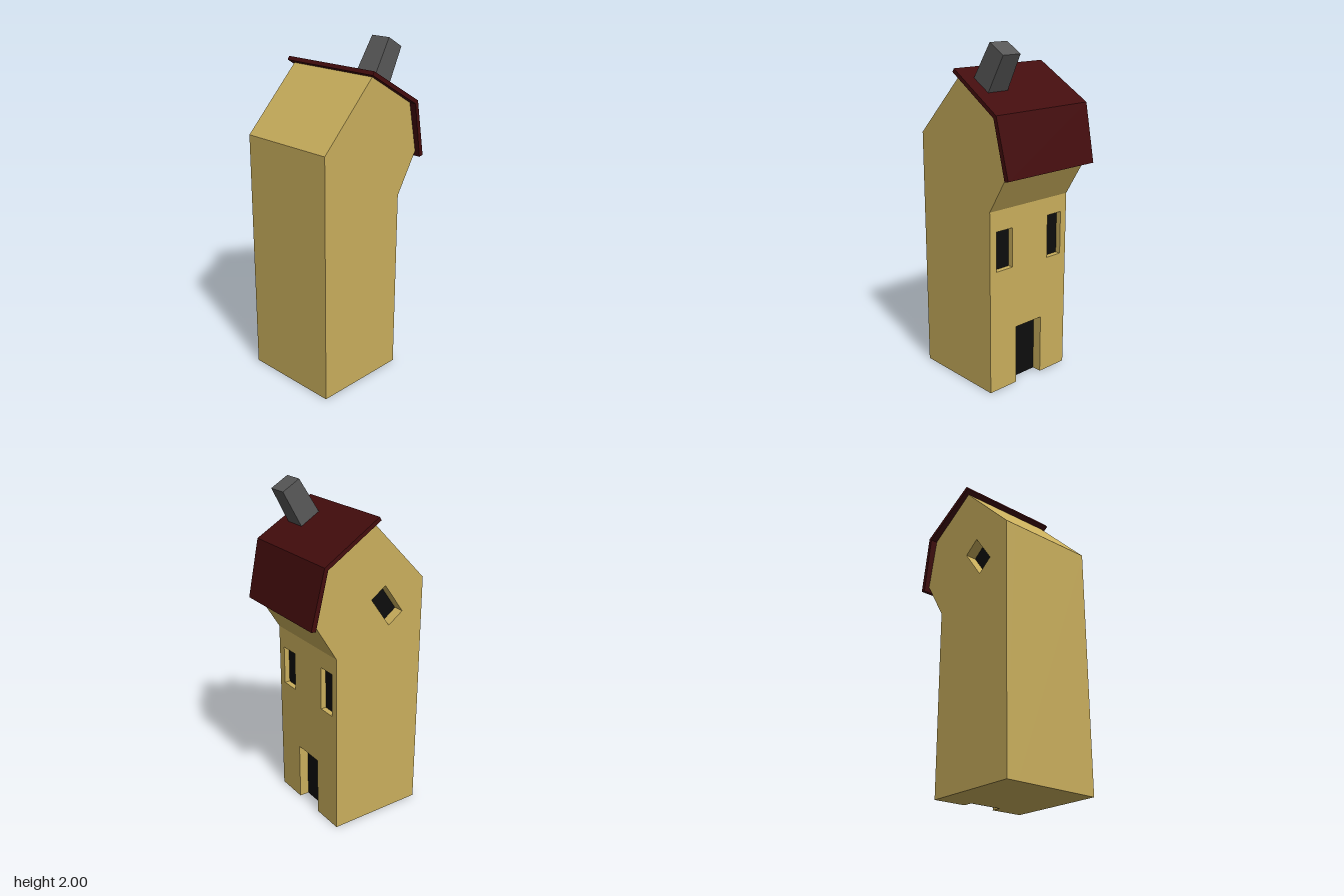
import * as THREE from 'three';

const mat = (name, color) => Object.assign(new THREE.MeshStandardMaterial({ color }), { name });
const vecs = (pts) => pts.map(([x, y]) => new THREE.Vector2(x, y));

// flat outline pushed along z, with optional holes
function slab(pts, depth, holes = []) {
  const shape = new THREE.Shape(vecs(pts));
  holes.forEach((h) => shape.holes.push(new THREE.Path(vecs(h))));
  return new THREE.ExtrudeGeometry(shape, { depth, bevelEnabled: false });
}

// corners of a rectangle, optionally turned about its centre
function rect(cx, cy, w, h, turn = 0) {
  return [[-1, -1], [-1, 1], [1, 1], [1, -1]].map(([i, j]) => {
    const p = new THREE.Vector2(i * w / 2, j * h / 2).rotateAround(new THREE.Vector2(), turn);
    return [cx + p.x, cy + p.y];
  });
}

export function createModel() {
  const house = new THREE.Group();
  house.name = 'crookedHouse';
  const plaster = mat('plaster', 0xc9ae5c);
  const roofRed = mat('roofRed', 0x430c0d);
  const stone = mat('chimneyGrey', 0x575757);
  const dark = mat('openingBlack', 0x0d0d0d);

  const add = (name, geometry, material) => {
    const mesh = new THREE.Mesh(geometry, material);
    mesh.name = name;
    house.add(mesh);
    return mesh;
  };

  // crooked body: solid core plus a back wall with a slanted window hole
  const doorDepth = 0.065, backDepth = 0.07, wallX = 0.205, half = 0.3;
  const inner = wallX - doorDepth;
  const outline = [
    [-0.385, 0], [inner, 0], [inner, 1.1], [wallX, 1.1], [0.348, 1.335],
    [0.285, 1.632], [-0.03, 1.822], [-0.385, 1.46],
  ];
  const core = slab(outline, half * 2 - backDepth);
  core.translate(0, 0, backDepth - half);
  add('body', core, plaster);

  const slanted = { x: -0.135, y: 1.34, w: 0.114, h: 0.213, turn: -0.62 };
  const backWall = slab(outline, backDepth, [rect(slanted.x, slanted.y, slanted.w, slanted.h, slanted.turn)]);
  backWall.translate(0, 0, -half);
  add('backWall', backWall, plaster);
  const pane = add('backWindow', new THREE.BoxGeometry(slanted.w, slanted.h, 0.006), dark);
  pane.position.set(slanted.x, slanted.y, backDepth - half - 0.003);
  pane.rotation.z = slanted.turn;

  // entrance wall with a door notch and two window holes
  const windows = [
    { z: 0.191, y: 0.86, w: 0.12, h: 0.236 },
    { z: -0.2, y: 0.863, w: 0.11, h: 0.262 },
  ];
  const entrance = slab(
    [[-half, 0], [-0.1, 0], [-0.1, 0.362], [0.1, 0.362], [0.1, 0], [half, 0], [half, 1.1], [-half, 1.1]],
    doorDepth,
    windows.map((o) => rect(-o.z, o.y, o.w, o.h)),
  );
  entrance.rotateY(Math.PI / 2).translate(inner, 0, 0);
  add('entranceWall', entrance, plaster);

  add('door', new THREE.BoxGeometry(0.006, 0.362, 0.2), dark).position.set(inner + 0.003, 0.181, 0);
  windows.forEach((o, i) => {
    add(`sideWindow${i + 1}`, new THREE.BoxGeometry(0.006, o.h, o.w), dark)
      .position.set(wallX - 0.036, o.y, o.z);
  });

  // bent roof sheet, slightly wider at the fold
  const roof = slab([
    [-0.06, 1.835], [0.285, 1.63], [0.355, 1.304], [0.384, 1.31], [0.306, 1.646], [-0.048, 1.855],
  ], 2);
  const rp = roof.attributes.position;
  for (let i = 0; i < rp.count; i++) {
    const x = rp.getX(i);
    const w = x > 0.2 && x < 0.32 ? 0.341 : 0.328;
    rp.setZ(i, (rp.getZ(i) - 1) * w);
  }
  roof.computeVertexNormals();
  add('roof', roof, roofRed);

  // tapered chimney square to the upper roof slope
  const height = 0.245;
  const stack = new THREE.BoxGeometry(0.12, height, 0.122).toNonIndexed();
  const cp = stack.attributes.position;
  for (let i = 0; i < cp.count; i++) {
    if (cp.getY(i) < 0) cp.setXYZ(i, cp.getX(i) * 1.13, cp.getY(i), cp.getZ(i) * 1.15);
  }
  stack.computeVertexNormals();
  stack.translate(0, -height / 2, 0);
  const chimney = add('chimney', stack, stone);
  chimney.position.set(0.206, 1.97, 0.188);
  chimney.rotation.z = -Math.PI / 6;

  return house;
}
